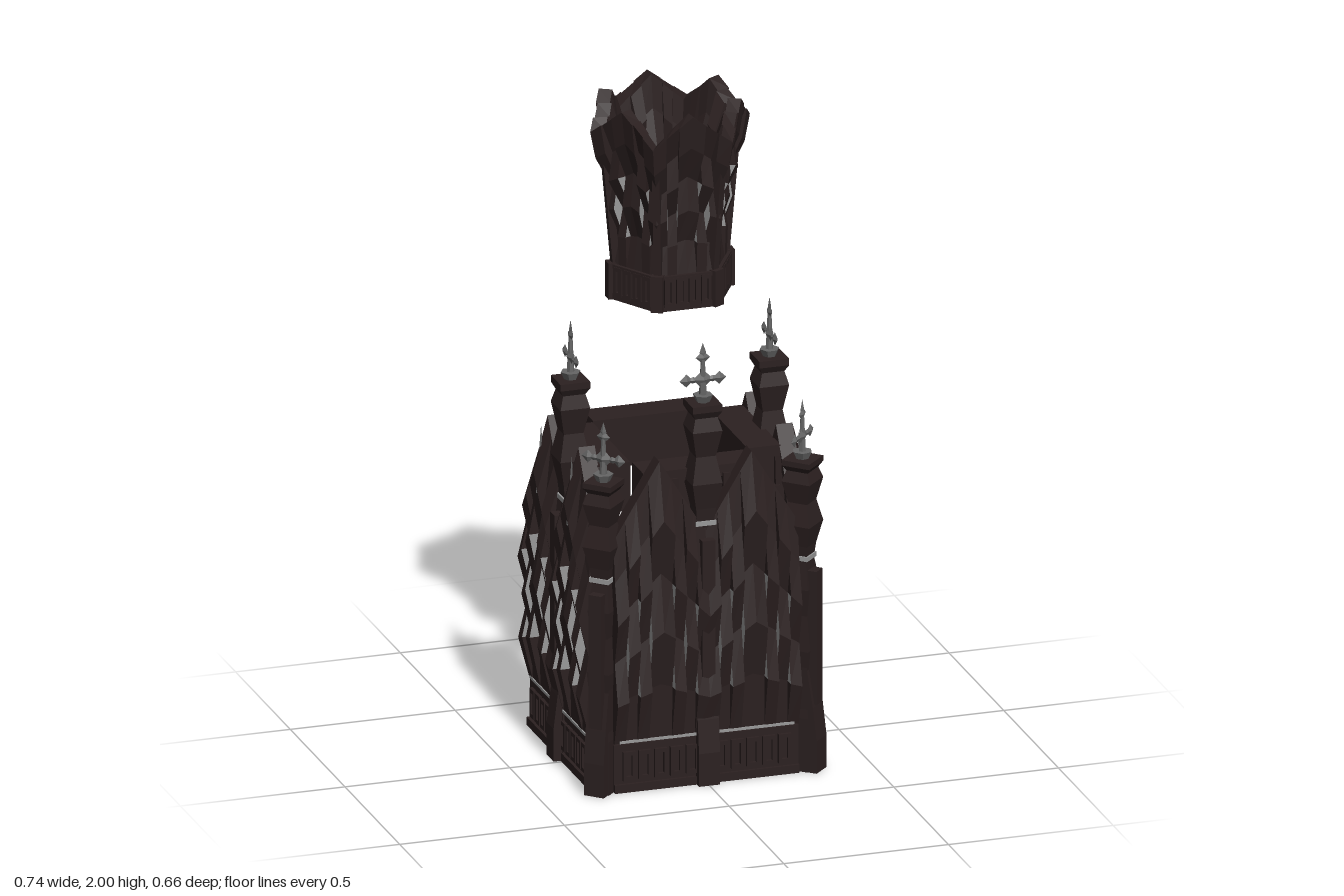
import * as THREE from 'three';

const mat = (color) => new THREE.MeshStandardMaterial({ color, flatShading: true });
const dark = mat(0x2b2020), grey = mat(0x666666), pale = mat(0x999999);

function add(parent, name, geometry, material, x = 0, y = 0, z = 0) {
  const mesh = new THREE.Mesh(geometry, material);
  mesh.name = name;
  mesh.position.set(x, y, z);
  parent.add(mesh);
  return mesh;
}
const box = (w, h, d) => new THREE.BoxGeometry(w, h, d);

function group(parent, name, x = 0, y = 0, z = 0, turn = 0) {
  const g = new THREE.Group();
  g.name = name;
  g.position.set(x, y, z);
  g.rotation.y = turn;
  parent.add(g);
  return g;
}

function fromQuads(quads) {
  const p = [];
  for (const [a, b, c, d] of quads) p.push(...a, ...b, ...c, ...a, ...c, ...d);
  const g = new THREE.BufferGeometry();
  g.setAttribute('position', new THREE.Float32BufferAttribute(p, 3));
  g.computeVertexNormals();
  return g;
}

// Gabled screen of upright slats, folded in depth; neighbours fold in opposite
// rhythm, so pale diamonds show along the seams. Outward is +z.
function slatPanel(parent, o) {
  const body = [], diamonds = [], last = o.folds[0].length - 1;
  for (let i = 0; i < o.count; i++) {
    const even = (i < o.count / 2 ? i : o.count - 1 - i) % 2;
    const fold = o.folds[even];
    const point = (side, k, inner) => {
      const u = -1 + 2 * (i + side) / o.count;
      const z = fold[k] - (inner ? o.thick : 0);
      const top = o.peak - (o.peak - o.eaves) * Math.abs(u);
      return [u * o.halfWidth(z), o.base + (top - o.base) * k / last, z];
    };
    for (let k = 0; k < last; k++) {
      const [a, b, c, d] = [point(0, k), point(1, k), point(1, k + 1), point(0, k + 1)];
      const [e, f, g, h] = [point(0, k, 1), point(1, k, 1), point(1, k + 1, 1), point(0, k + 1, 1)];
      body.push([a, b, c, d], [f, e, h, g]);
      const glazed = k === 1 || k === 2;
      (glazed && i > 0 ? diamonds : body).push([e, a, d, h]);
      (glazed && i < o.count - 1 ? diamonds : body).push([b, f, g, c]);
      if (k === 0) body.push([e, f, b, a]);
      if (k === last - 1) body.push([d, c, g, h]);
    }
  }
  add(parent, 'foldedSlats', fromQuads(body), dark);
  add(parent, 'diamondLights', fromQuads(diamonds), pale);
}

// Row of framed square panels on a plinth face
function squares(parent, count, width, y, z) {
  const step = width / count;
  for (let i = 0; i < count; i++) {
    const x = -width / 2 + step * (i + 0.5), s = step * 0.8;
    for (const m of [-1, 1]) {
      add(parent, 'squareFrame', box(s, 0.012, 0.014), dark, x, y + m * 0.038, z);
      add(parent, 'squareFrame', box(0.01, 0.076, 0.014), dark, x + m * (s / 2 - 0.005), y, z);
    }
  }
}

// One bay of the lower wall
function wallBay(parent, x, spike) {
  const bay = group(parent, 'wallBay', x);
  add(bay, 'plinth', box(0.28, 0.145, 0.06), dark, 0, 0.0725, 0.302);
  add(bay, 'plinthFoot', box(0.28, 0.025, 0.07), dark, 0, 0.0125, 0.307);
  add(bay, 'sill', box(0.25, 0.008, 0.066), pale, 0, 0.154, 0.306);
  squares(bay, 5, 0.24, 0.08, 0.335);
  slatPanel(bay, {
    count: 8, base: 0.15, peak: 1, eaves: 0.77, thick: 0.05, halfWidth: () => 0.14,
    folds: [[0.335, 0.368, 0.338, 0.37, 0.34, 0.325], [0.335, 0.338, 0.37, 0.338, 0.368, 0.325]],
  });
  if (spike) add(bay, 'gableSpike', new THREE.ConeGeometry(0.016, 0.21, 4), grey, 0, 0.87, 0.345);
}

// Cross-shaped finial with pointed buds
function finial(parent, y) {
  const f = group(parent, 'finial', 0, y);
  const bud = (x, yy, w, h, d) =>
    add(f, 'bud', new THREE.OctahedronGeometry(1), grey, x, yy, 0).scale.set(w, h, d);
  add(f, 'collar', new THREE.CylinderGeometry(0.03, 0.02, 0.022, 6), grey, 0, 0.011, 0);
  add(f, 'stem', new THREE.CylinderGeometry(0.005, 0.012, 0.14, 6), grey, 0, 0.08, 0);
  bud(0, 0.068, 0.03, 0.03, 0.012);
  bud(0, 0.135, 0.022, 0.02, 0.008);
  bud(0, 0.15, 0.01, 0.03, 0.005);
  for (const s of [-1, 1]) {
    bud(s * 0.03, 0.068, 0.03, 0.01, 0.006);
    bud(s * 0.05, 0.068, 0.021, 0.02, 0.008);
  }
}

// Waisted square pier; the corner piers are shorter
function pier(parent, x, z, turn, height) {
  const p = group(parent, 'pier', x, 0, z, turn);
  const outline = [[0, 0], [0.035, 0], [0.035, 0.2], [0.026, 0.3], [0.036, 0.45], [0.026, 0.58],
    [0.034, 0.68], [0.024, 0.78], [0.03, 0.84], [0.045, 0.92], [0.03, 1.0], [0.045, 1.08],
    [0.034, 1.12], [0.045, 1.14], [0.045, 1.16], [0, 1.16]]
    .map(([r, y]) => new THREE.Vector2(r * Math.SQRT2, y * height));
  add(p, 'pierShaft', new THREE.LatheGeometry(outline, 4, Math.PI / 4), dark);
  add(p, 'pierBand', box(0.062, 0.014, 0.062), pale, 0, 0.795 * height, 0);
  // buttress foot leaning back into the wall
  const foot = new THREE.Shape([[-0.03, 0], [0.062, 0], [0.062, 0.1], [0.05, 0.2], [0.03, 0.32], [-0.03, 0.32]]
    .map(([a, b]) => new THREE.Vector2(a, b)));
  const footGeo = new THREE.ExtrudeGeometry(foot, { depth: 0.064, bevelEnabled: false });
  footGeo.rotateY(-Math.PI / 2).translate(0.032, 0, 0);
  add(p, 'buttressFoot', footGeo, dark);
  // outer rib ending under the head
  add(p, 'buttressRib', box(0.04, 0.5 * height, 0.05), dark, 0, 0.5 * height, 0.03);
  finial(p, 1.16 * height);
}

// Arcaded beam with small brackets along its outer side
function beam(parent, x, z, turn) {
  const b = group(parent, 'beam', x, 0, z, turn);
  add(b, 'beamTop', box(0.347, 0.035, 0.1), dark, 0, 0.932, 0);
  add(b, 'beamCore', box(0.347, 0.09, 0.08), dark, 0, 0.87, -0.01);
  add(b, 'beamFoot', box(0.347, 0.025, 0.1), dark, 0, 0.8125, 0);
  for (let i = -2; i <= 2; i++) {
    const lug = add(b, 'bracket', new THREE.CylinderGeometry(0.016, 0.01, 0.11, 4), dark, i * 0.079, 0.87, 0.046);
    lug.rotation.y = Math.PI / 4;
  }
}

// Hexagonal ring with its flats facing front and back
function hexRing(outer, inner, y, h) {
  const corners = (apothem) => Array.from({ length: 6 }, (_, i) => {
    const r = apothem / Math.cos(Math.PI / 6), a = i * Math.PI / 3;
    return new THREE.Vector2(r * Math.cos(a), r * Math.sin(a));
  });
  const shape = new THREE.Shape(corners(outer));
  shape.holes.push(new THREE.Path(corners(inner)));
  const g = new THREE.ExtrudeGeometry(shape, { depth: h, bevelEnabled: false });
  return g.rotateX(-Math.PI / 2).translate(0, y, 0);
}

function crownTower(parent) {
  const t = group(parent, 'crownTower', 0, 0, -0.04);
  add(t, 'towerBase', hexRing(0.158, 0.102, 1.4, 0.1), dark);
  add(t, 'towerFoot', hexRing(0.165, 0.102, 1.395, 0.02), dark);
  add(t, 'towerSill', hexRing(0.165, 0.11, 1.49, 0.012), dark);
  for (let i = 0; i < 6; i++) {
    const side = group(t, 'towerSide', 0, 0, 0, i * Math.PI / 3);
    squares(side, 4, 0.15, 1.452, 0.16);
    slatPanel(side, {
      count: 6, base: 1.5, peak: 2, eaves: 1.91, thick: 0.04,
      halfWidth: (z) => z * Math.tan(Math.PI / 6),
      folds: [[0.155, 0.14, 0.17, 0.158, 0.196, 0.21], [0.155, 0.158, 0.143, 0.186, 0.174, 0.205]],
    });
    // slender posts on the six corners
    const post = group(t, 'cornerPost', 0, 0, 0, i * Math.PI / 3 + Math.PI / 6);
    add(post, 'postFoot', box(0.036, 0.11, 0.03), dark, 0, 1.45, 0.177);
    const shaft = add(post, 'postShaft', box(0.022, 0.36, 0.022), dark, 0, 1.67, 0.182);
    shaft.rotation.x = 0.09;
  }
}

export function createModel() {
  const model = new THREE.Group();
  model.name = 'gothicTower';
  const q = Math.PI / 2;

  // Three walls of two bays each, open at the back
  const walls = [
    group(model, 'frontWall', 0, 0, -0.04, 0),
    group(model, 'leftWall', 0, 0, -0.04, q),
    group(model, 'rightWall', 0, 0, -0.04, -q),
  ];
  walls.forEach((w, i) => [-0.14, 0.14].forEach((x) => wallBay(w, x, i > 0)));

  // Piers: tall ones mid-wall, shorter ones on the corners
  pier(model, 0, 0.26, 0, 1);
  for (const s of [-1, 1]) {
    pier(model, s * 0.302, -0.04, s * q, 1);
    pier(model, s * 0.302, 0.26, s * q / 2, 0.82);
  }

  // Four beams around the inner opening
  beam(model, 0, 0.187, 0);
  beam(model, 0, -0.27, Math.PI);
  for (const s of [-1, 1]) beam(model, s * 0.228, -0.04, s * q);

  crownTower(model);
  return model;
}
